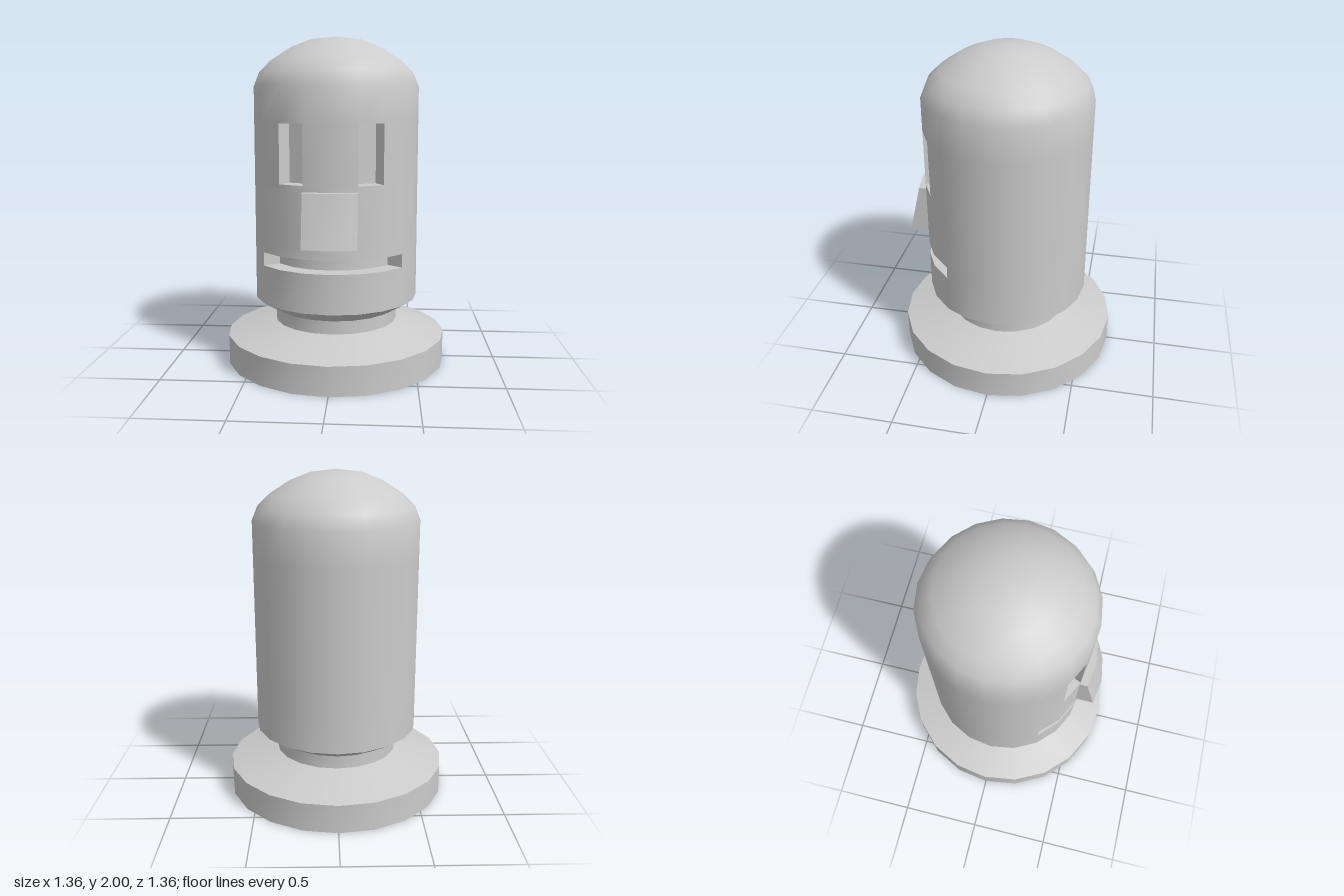
import * as THREE from 'three';
import { toCreasedNormals } from 'three/addons/utils/BufferGeometryUtils.js';

const SIDES = 20, STEP = (Math.PI * 2) / SIDES, R = 0.505;
const material = new THREE.MeshStandardMaterial({ color: 0xcccccc });

// Point on a ring: angle k steps from the front (+z) toward +x
const polar = (r, k, y) => new THREE.Vector3(r * Math.sin(k * STEP), y, r * Math.cos(k * STEP));

function pushQuad(out, a, b, c, d) {
  for (const t of [[a, b, c], [a, c, d]]) {
    if (t[0].distanceTo(t[1]) < 1e-5 || t[1].distanceTo(t[2]) < 1e-5 || t[2].distanceTo(t[0]) < 1e-5) continue;
    for (const v of t) out.push(v.x, v.y, v.z);
  }
}

function makeMesh(name, positions) {
  const geo = new THREE.BufferGeometry();
  geo.setAttribute('position', new THREE.Float32BufferAttribute(positions, 3));
  const mesh = new THREE.Mesh(toCreasedNormals(geo, 0.55), material);
  mesh.name = name;
  return mesh;
}

// Revolved [radius, y] profile, listed from bottom to top; isOpen leaves facets out
function revolve(name, profile, isOpen = () => false) {
  const out = [];
  for (let j = 0; j < profile.length - 1; j++) {
    const [r0, y0] = profile[j], [r1, y1] = profile[j + 1];
    for (let k = -SIDES / 2; k < SIDES / 2; k++) {
      if (isOpen(k, (y0 + y1) / 2)) continue;
      pushQuad(out, polar(r0, k, y0), polar(r0, k + 1, y0), polar(r1, k + 1, y1), polar(r1, k, y1));
    }
  }
  return makeMesh(name, out);
}

// Facets k0..k1 between two heights, moved in or out by a rule, with walls all round
function movedPanel({ name, k0, k1, y0, y1, move }) {
  const out = [];
  const rim = (k, y) => polar(R, k, y);
  const face = (k, y) => move(rim(k, y), k, y);
  for (let k = k0; k < k1; k++) {
    pushQuad(out, face(k, y0), face(k + 1, y0), face(k + 1, y1), face(k, y1));
    pushQuad(out, face(k, y1), face(k + 1, y1), rim(k + 1, y1), rim(k, y1));
    pushQuad(out, rim(k, y0), rim(k + 1, y0), face(k + 1, y0), face(k, y0));
  }
  pushQuad(out, rim(k0, y0), face(k0, y0), face(k0, y1), rim(k0, y1));
  pushQuad(out, face(k1, y0), rim(k1, y0), rim(k1, y1), face(k1, y1));
  return makeMesh(name, out);
}

export function createModel() {
  const group = new THREE.Group();

  // Eyes are sunk along the normal of their facet
  const eye = (name, k) => ({
    name, k0: k, k1: k + 1, y0: 1.145, y1: 1.49,
    move: (p) => p.sub(polar(0.104, k + 0.5, 0)),
  });
  const features = [
    eye('leftEye', 1),
    eye('rightEye', -2),
    // Nose leans forward toward its lower edge
    { name: 'nose', k0: -1, k1: 1, y0: 0.805, y1: 1.11,
      move: (p, k, y) => p.setZ(p.z + (y < 1 ? 0.115 : 0.045)) },
    // Mouth is a curved slot
    { name: 'mouth', k0: -3, k1: 3, y0: 0.645, y1: 0.725,
      move: (p, k, y) => polar(0.4, k, y) },
  ];

  // Foot with a sloped top, and the narrow neck
  group.add(revolve('base', [[0, 0], [0.68, 0], [0.68, 0.175], [0.38, 0.255]]));
  group.add(revolve('neck', [[0.38, 0.255], [0.38, 0.335]]));

  // Body with rings at every feature edge, closed by a dome
  const levels = [0.41, ...features.slice(1).flatMap((f) => [f.y0, f.y1]), 1.7].sort((a, b) => a - b);
  const profile = [
    [0.38, 0.335],
    ...levels.map((y) => [R, y]),
    [0.47, 1.785], [0.4, 1.855], [0.275, 1.935], [0.16, 1.98], [0, 2],
  ];
  group.add(revolve('body', profile, (k, y) =>
    features.some((f) => k >= f.k0 && k < f.k1 && y > f.y0 && y < f.y1)));

  for (const f of features) group.add(movedPanel(f));
  return group;
}
